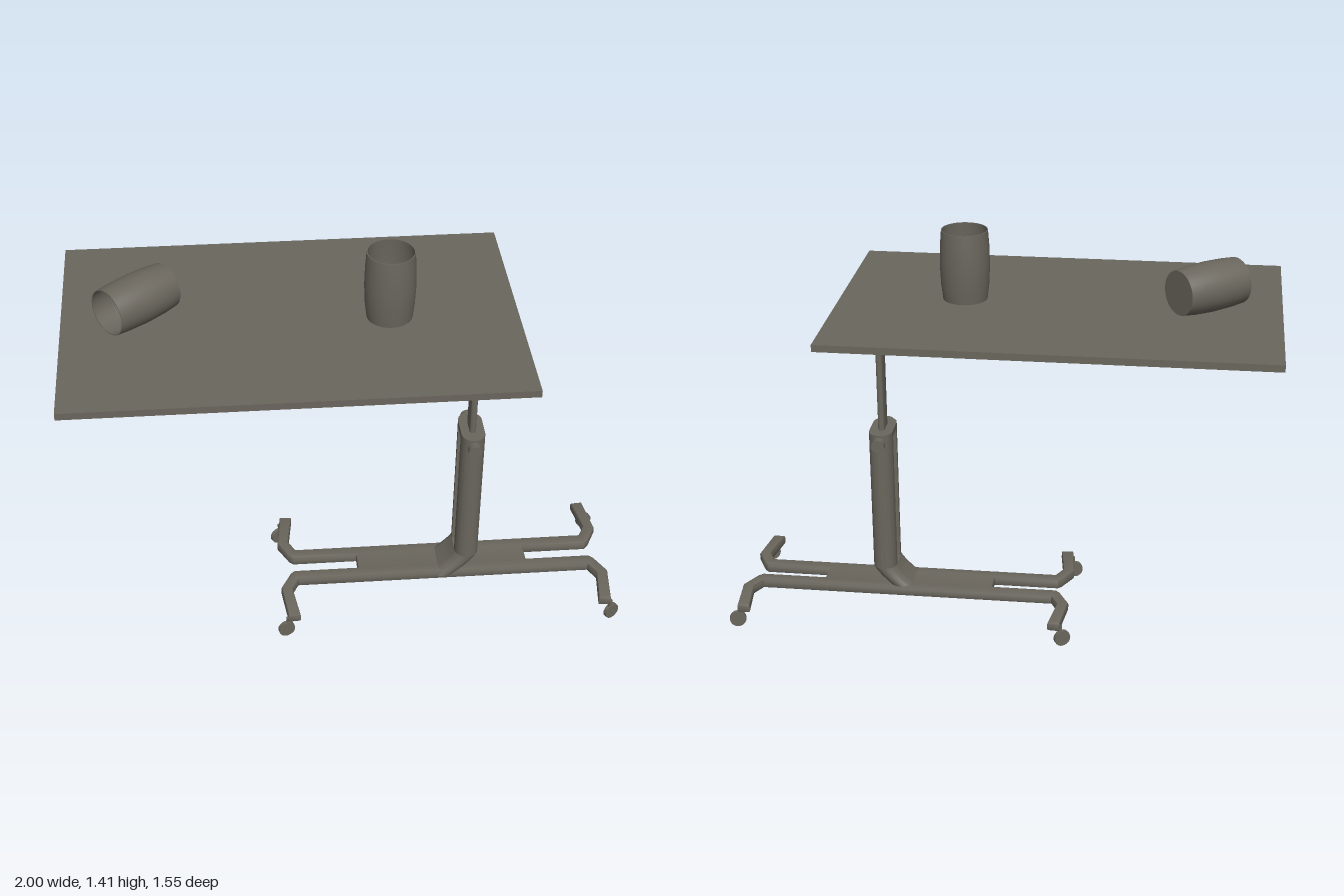
import * as THREE from 'three';
import { toCreasedNormals } from 'three/addons/utils/BufferGeometryUtils.js';

const YAW = -29.5 * Math.PI / 180;

export function createModel() {
  const grey = new THREE.MeshStandardMaterial({ color: 0x6a665d });
  grey.name = 'warm grey';
  const model = new THREE.Group();
  model.name = 'overbedTable';

  const add = (parent, name, geometry, x = 0, y = 0, z = 0) => {
    const mesh = new THREE.Mesh(geometry, grey);
    mesh.name = name;
    mesh.position.set(x, y, z);
    parent.add(mesh);
    return mesh;
  };

  // Plan outline extruded upwards from y0 to y1 (shape y becomes z)
  const upright = (shape, y0, y1, options = {}) => {
    const g = new THREE.ExtrudeGeometry(shape, { depth: y1 - y0, bevelEnabled: false, curveSegments: 12, ...options });
    g.rotateX(Math.PI / 2).translate(0, y1, 0);
    return g;
  };
  const smooth = (g) => toCreasedNormals(g, 0.6);

  // Slot-shaped plan: radius r, straight half-length s along z
  const pill = (r, s) => {
    const p = new THREE.Shape();
    p.moveTo(r, -s);
    p.lineTo(r, s);
    p.absarc(0, s, r, 0, Math.PI, false);
    p.lineTo(-r, -s);
    p.absarc(0, -s, r, Math.PI, Math.PI * 2, false);
    return p;
  };

  // Table top
  const top = add(model, 'tableTop', new THREE.BoxGeometry(1.482, 0.024, 0.94), -0.125, 1.163, 0);
  top.rotation.y = YAW;

  // Stand: column, post and base share one turned frame
  const stand = new THREE.Group();
  stand.name = 'stand';
  stand.position.set(0.412, 0, 0.305);
  stand.rotation.y = YAW;
  model.add(stand);

  add(stand, 'liftPost', smooth(upright(pill(0.011, 0.026), 0.66, 1.142)));

  // Column with a slot straight through it
  const r = 0.041, s = 0.04, slot = 0.029;
  add(stand, 'columnCap', smooth(upright(pill(r, s), 0.667, 0.69)));
  for (const side of [1, -1]) {
    const half = new THREE.Shape();
    half.moveTo(-r, side * slot);
    half.lineTo(r, side * slot);
    half.lineTo(r, side * s);
    half.absarc(0, side * s, r, 0, side * Math.PI, side < 0);
    half.closePath();
    add(stand, 'columnSide', smooth(upright(half, 0.167, 0.667)));

    // Clamp knobs on the column ends
    const knob = add(stand, 'clampKnob', new THREE.CylinderGeometry(0.023, 0.023, 0.026, 20), 0, 0.66, side * 0.094);
    knob.rotation.x = Math.PI / 2;
  }

  // Foot of the column, bending over to the middle of the base
  const foot = upright(pill(r, s), 0.08, 0.167, { steps: 5 });
  const pos = foot.attributes.position;
  for (let i = 0; i < pos.count; i++) {
    const t = (0.167 - pos.getY(i)) / 0.087;
    pos.setX(i, pos.getX(i) - 0.08 * Math.pow(t, 1.3));
  }
  add(stand, 'columnFoot', smooth(foot));

  // Base: a rail forking into two bent legs at each end
  const leg = [
    [0.523, 0.08], [0.547, 0.127], [0.528, 0.262], [0.571, 0.265],
    [0.588, 0.118], [0.551, 0.047], [0.536, 0.033], [0.306, 0.033],
  ];
  const mirrored = [...leg].reverse().map(([x, z]) => [x, -z]);
  const end = [...leg, ...mirrored];
  const outline = [...end, ...end.map(([x, z]) => [-x, -z])].map(([x, z]) => new THREE.Vector2(x, z));
  const base = upright(new THREE.Shape(outline), 0.071, 0.091, {
    bevelEnabled: true, bevelThickness: 0.008, bevelSize: 0.008, bevelOffset: -0.008, bevelSegments: 2,
  });
  add(stand, 'base', smooth(base), -0.081, 0, -0.006);

  // Castors
  for (const ex of [1, -1]) for (const ez of [1, -1]) {
    const castor = new THREE.Group();
    castor.name = 'castor';
    castor.position.set(-0.081 + ex * 0.578, 0, ez * 0.25);
    castor.rotation.y = -YAW - (ex * ez < 0 ? 0.24 : 0);
    stand.add(castor);
    const wheel = add(castor, 'wheel', new THREE.CylinderGeometry(0.029, 0.029, 0.014, 20), 0, 0.029, 0);
    wheel.rotation.x = Math.PI / 2;
    add(castor, 'castorStem', new THREE.BoxGeometry(0.014, 0.03, 0.008), -ex * 0.008, 0.066, 0);
  }

  // Open cups with slightly bulging walls
  const cupProfile = [
    [0, 0], [0.075, 0], [0.081, 0.05], [0.084, 0.12], [0.082, 0.19], [0.078, 0.24],
    [0.075, 0.24], [0.079, 0.19], [0.081, 0.12], [0.078, 0.05], [0.072, 0.006], [0, 0.006],
  ].map(([x, y]) => new THREE.Vector2(x, y));
  const cupGeometry = smooth(new THREE.LatheGeometry(cupProfile, 32));
  add(model, 'uprightCup', cupGeometry, 0.146, 1.175, 0.173);

  // Cup lying on its side, mouth towards -x
  const fallen = new THREE.Group();
  fallen.name = 'fallenCup';
  fallen.position.set(-0.426, 1.259, -0.275);
  fallen.rotation.y = 0.165;
  model.add(fallen);
  add(fallen, 'fallenCupBody', cupGeometry).rotation.z = Math.PI / 2;

  return model;
}
